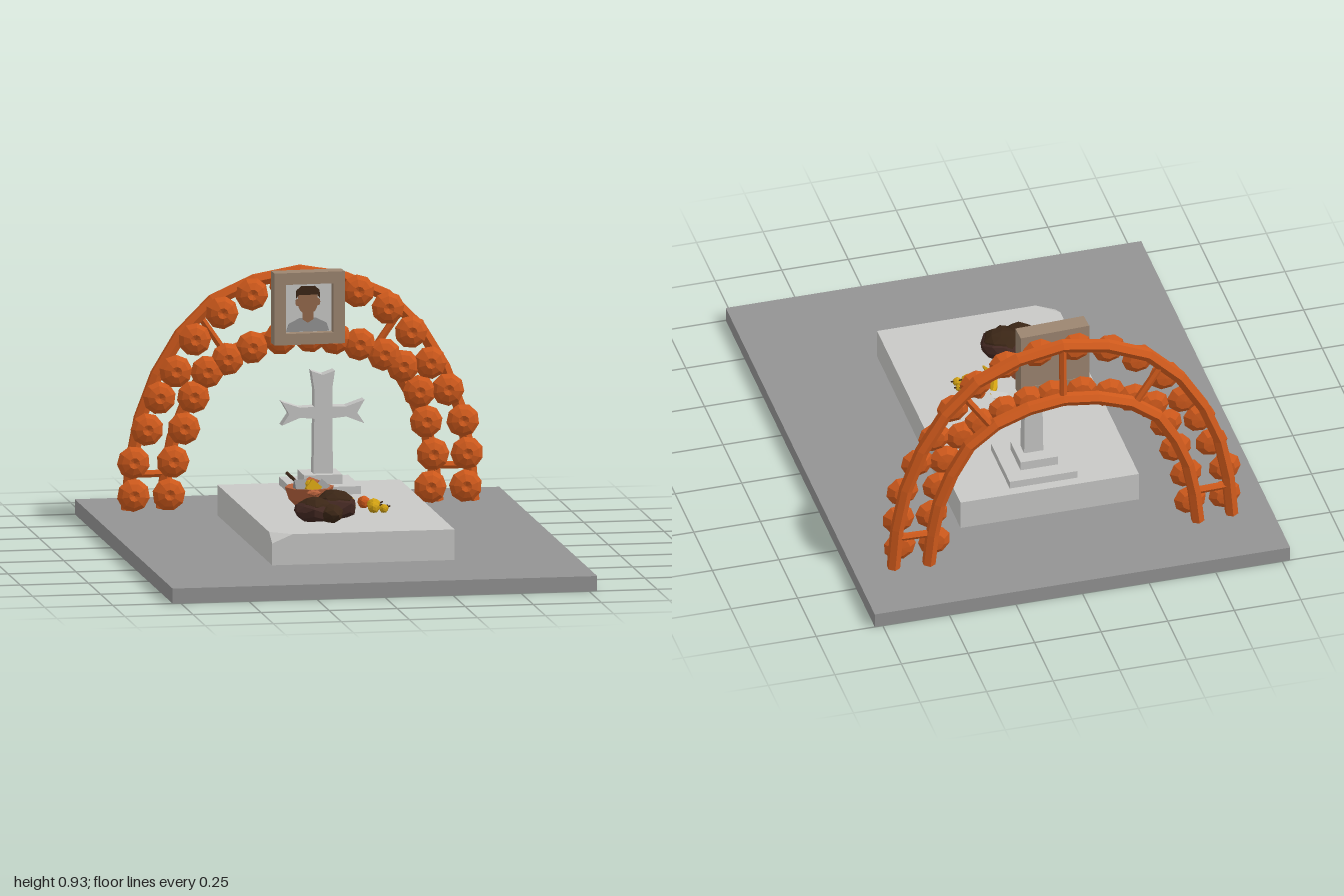
import * as THREE from 'three';
import { ConvexGeometry } from 'three/addons/geometries/ConvexGeometry.js';

const paint = (name, hex, side = THREE.FrontSide) => {
  const m = new THREE.MeshStandardMaterial({ color: hex, flatShading: true, side });
  m.name = name;
  return m;
};

export function createModel() {
  const root = new THREE.Group();
  const mat = {
    ground: paint('concrete grey', 0x939393),
    stone: paint('pale stone', 0xc8c8c6),
    orange: paint('marigold orange', 0xd05a1c),
    wood: paint('frame wood', 0x9c8570),
    brown: paint('dark brown', 0x3b2616),
    bread: paint('bread crust', 0x432822),
    clay: paint('clay', 0xb5613c, THREE.DoubleSide),
    yellow: paint('fruit yellow', 0xd0a012),
    skin: paint('skin', 0x94694c),
  };
  const add = (name, geo, m, x = 0, y = 0, z = 0, parent = root) => {
    const mesh = new THREE.Mesh(geo, m);
    mesh.name = name;
    mesh.position.set(x, y, z);
    parent.add(mesh);
    return mesh;
  };
  const box = (name, w, h, d, m, x, y, z, parent) =>
    add(name, new THREE.BoxGeometry(w, h, d), m, x, y, z, parent);
  const group = (name, x = 0, y = 0, z = 0) => {
    const g = new THREE.Group();
    g.name = name;
    g.position.set(x, y, z);
    root.add(g);
    return g;
  };
  const V = (x, y, z) => new THREE.Vector3(x, y, z);
  const shapeOf = pts => new THREE.Shape(pts.map(p => new THREE.Vector2(p[0], p[1])));
  const extrude = (shape, depth) =>
    new THREE.ExtrudeGeometry(shape, { depth, bevelEnabled: false, curveSegments: 8 });

  // Ground and tomb slab with one chipped corner
  box('groundSlab', 1.56, 0.055, 2, mat.ground, 0, 0.0275, 0);
  const X = 0.335, Z = 0.56, B = 0.055, T = 0.167;
  add('tombSlab', new ConvexGeometry([
    V(-X, B, -Z), V(X, B, -Z), V(X, B, Z), V(-X, B, Z),
    V(-X, T, -Z), V(X, T, -Z), V(X, T, Z),
    V(-X, T, 0.495), V(-0.26, T, Z), V(-X, 0.135, Z),
  ]), mat.stone);

  // Stepped base and cross with flared, notched arms
  box('lowerStep', 0.255, 0.03, 0.255, mat.stone, 0.012, 0.181, -0.395);
  box('upperStep', 0.14, 0.035, 0.135, mat.stone, 0.012, 0.213, -0.395);
  const half = [[0.036, 0.23], [0.033, 0.432], [0.085, 0.437], [0.152, 0.41], [0.125, 0.45],
    [0.152, 0.497], [0.085, 0.474], [0.033, 0.476], [0.033, 0.54], [0.043, 0.607]];
  const outline = [...half, [0, 0.592], ...half.slice().reverse().map(([x, y]) => [-x, y])];
  add('cross', extrude(shapeOf(outline), 0.05), mat.stone, 0.018, 0, -0.41);

  // Two concentric arch rails joined by struts
  const arch = group('arch');
  const rail = (name, pts, z) => {
    const all = [...pts.map(([x, y]) => V(-x, y, z)), ...pts.slice(0, -1).reverse().map(([x, y]) => V(x, y, z))];
    const path = new THREE.CatmullRomCurve3(all, false, 'centripetal');
    add(name, new THREE.TubeGeometry(path, 14, 0.025, 6), mat.orange, 0, 0, 0, arch);
  };
  rail('outerRail', [[0.635, 0.055], [0.61, 0.3], [0.55, 0.5], [0.45, 0.68], [0.34, 0.8], [0.19, 0.875], [0, 0.913]], -0.732);
  rail('innerRail', [[0.505, 0.055], [0.475, 0.28], [0.41, 0.45], [0.33, 0.57], [0.2, 0.645], [0, 0.685]], -0.742);
  const rod = (name, a, b, r, m, parent = root) => {
    const dir = b.clone().sub(a);
    const mid = a.clone().add(b).multiplyScalar(0.5);
    const mesh = add(name, new THREE.CylinderGeometry(r, r, dir.length(), 6), m, mid.x, mid.y, mid.z, parent);
    mesh.quaternion.setFromUnitVectors(V(0, 1, 0), dir.normalize());
  };
  for (const s of [-1, 1]) {
    rod('lowerStrut', V(s * 0.49, 0.185, -0.74), V(s * 0.62, 0.185, -0.735), 0.014, mat.orange, arch);
    rod('upperStrut', V(s * 0.26, 0.6, -0.74), V(s * 0.37, 0.76, -0.735), 0.014, mat.orange, arch);
  }
  rod('topStrut', V(0, 0.68, -0.74), V(0, 0.91, -0.735), 0.014, mat.orange, arch);

  // Marigold blooms following both rails
  const bloom = new THREE.LatheGeometry(
    [[0, -0.022], [0.035, -0.019], [0.061, 0], [0.045, 0.014], [0.02, 0.024], [0, 0.016]]
      .map(p => new THREE.Vector2(p[0], p[1])), 9);
  bloom.rotateX(Math.PI / 2);
  const rows = [
    [[-0.62, 0.115], [-0.62, 0.235], [-0.57, 0.355], [-0.525, 0.47], [-0.465, 0.565], [-0.395, 0.68], [-0.295, 0.775],
      [-0.185, 0.84], [-0.06, 0.87], [0.08, 0.87], [0.205, 0.84], [0.315, 0.775], [0.4, 0.685], [0.47, 0.57],
      [0.535, 0.47], [0.59, 0.355], [0.605, 0.235], [0.6, 0.115]],
    [[-0.49, 0.115], [-0.475, 0.235], [-0.435, 0.355], [-0.4, 0.47], [-0.35, 0.56], [-0.275, 0.605], [-0.185, 0.645],
      [-0.08, 0.675], [0.03, 0.68], [0.12, 0.67], [0.21, 0.645], [0.3, 0.605], [0.37, 0.56], [0.43, 0.465],
      [0.455, 0.355], [0.48, 0.235], [0.47, 0.115]],
  ];
  rows.forEach((row, r) => row.forEach(([x, y], i) => {
    const f = add('marigold', bloom, mat.orange, x, y, -0.69, arch);
    f.rotation.z = i * 1.3 + r;
  }));

  // Framed portrait hung at the top of the arch
  const frame = group('portrait', 0.01, 0.797, -0.63);
  frame.rotation.y = 0.04;
  const border = shapeOf([[-0.13, -0.132], [0.13, -0.132], [0.13, 0.132], [-0.13, 0.132]]);
  border.holes.push(shapeOf([[-0.088, -0.091], [-0.088, 0.089], [0.088, 0.089], [0.088, -0.091]]));
  add('frameBorder', extrude(border, 0.065), mat.wood, 0, 0, -0.0325, frame);
  box('frameBack', 0.18, 0.184, 0.02, mat.wood, 0, 0, -0.02, frame);
  box('photoBackground', 0.176, 0.18, 0.006, mat.stone, 0, -0.001, -0.008, frame);
  const plate = (name, shape, m, z) => add(name, extrude(shape, 0.003), m, 0, 0, z, frame);
  plate('shirt', shapeOf([[-0.08, -0.09], [0.08, -0.09], [0.07, -0.06], [0.03, -0.04], [-0.03, -0.04], [-0.07, -0.06]]), mat.ground, -0.005);
  plate('neck', shapeOf([[-0.02, -0.045], [0, -0.058], [0.02, -0.045], [0.02, 0], [-0.02, 0]]), mat.skin, -0.003);
  const face = new THREE.Shape();
  face.absellipse(0, 0.022, 0.038, 0.05, 0, Math.PI * 2);
  plate('face', face, mat.skin, -0.002);
  for (const s of [-1, 1]) {
    const ear = new THREE.Shape();
    ear.absellipse(s * 0.039, 0.018, 0.007, 0.013, 0, Math.PI * 2);
    plate('ear', ear, mat.skin, -0.003);
  }
  plate('hair', shapeOf([[-0.044, 0.032], [-0.034, 0.045], [0.034, 0.045], [0.044, 0.032],
    [0.043, 0.062], [0.025, 0.077], [-0.025, 0.077], [-0.043, 0.062]]), mat.brown, 0);

  // Lumpy bread loaves
  const lump = (name, m, x, y, z, sx, sy, sz, turn = 0, detail = 1) => {
    const g = new THREE.IcosahedronGeometry(1, detail);
    const p = g.attributes.position;
    for (let i = 0; i < p.count; i++) {
      const k = 1 + 0.06 * Math.sin(5 * p.getX(i) + 3 * p.getY(i) + 4 * p.getZ(i));
      p.setXYZ(i, p.getX(i) * k, p.getY(i) * k, p.getZ(i) * k);
    }
    const mesh = add(name, g, m, x, y, z);
    mesh.scale.set(sx, sy, sz);
    mesh.rotation.y = turn;
    return mesh;
  };
  lump('loaf', mat.bread, -0.14, 0.212, 0.32, 0.07, 0.043, 0.075, 0.4);
  lump('loaf', mat.bread, -0.055, 0.22, 0.285, 0.075, 0.052, 0.08, 1.2);
  lump('loafCrust', mat.brown, -0.135, 0.222, 0.32, 0.062, 0.04, 0.066, 0.4);
  lump('loafCrust', mat.brown, -0.055, 0.234, 0.285, 0.064, 0.046, 0.07, 1.2);
  lump('loafCrust', mat.brown, -0.085, 0.205, 0.355, 0.05, 0.035, 0.045, 2);

  // Clay bowl with lugs, filling and stick
  const bowl = [[0, 0], [0.045, 0], [0.075, 0.03], [0.09, 0.075], [0.078, 0.075], [0.06, 0.04], [0, 0.035]]
    .map(p => new THREE.Vector2(p[0], p[1]));
  add('bowl', new THREE.LatheGeometry(bowl, 8), mat.clay, -0.113, 0.185, 0.083);
  for (const s of [-1, 1]) lump('bowlLug', mat.clay, -0.113, 0.25, 0.083 + s * 0.088, 0.03, 0.012, 0.016, 0, 0);
  const filling = [[-0.14, 0.07, 'clay'], [-0.1, 0.05, 'clay'], [-0.15, 0.11, 'ground'], [-0.07, 0.08, 'ground'],
    [-0.11, 0.09, 'clay'], [-0.11, 0.13, 'yellow']];
  filling.forEach(([x, z, c], i) => {
    const b = box('bowlFilling', 0.042, 0.04, 0.045, mat[c], x, 0.25 + (i % 3) * 0.006, z);
    b.rotation.set(0.3 * i, 0.8 * i, 0.2);
  });
  lump('bowlFruit', mat.yellow, -0.115, 0.268, 0.115, 0.026, 0.022, 0.026);
  rod('stick', V(-0.13, 0.25, 0.03), V(-0.173, 0.29, -0.045), 0.006, mat.brown);

  // Banana: a bent tube tapered toward both ends
  const bend = new THREE.QuadraticBezierCurve3(V(0.058, 0.2, 0.015), V(0.002, 0.185, 0.115), V(0.038, 0.2, 0.2));
  const banana = new THREE.TubeGeometry(bend, 8, 0.017, 6);
  const bp = banana.attributes.position;
  for (let i = 0; i < bp.count; i++) {
    const t = Math.floor(i / 7) / 8;
    const c = bend.getPointAt(t);
    const v = V(bp.getX(i), bp.getY(i), bp.getZ(i)).sub(c).multiplyScalar(0.2 + 0.8 * Math.sin(Math.PI * t)).add(c);
    bp.setXYZ(i, v.x, v.y, v.z);
  }
  add('banana', banana, mat.yellow);

  // Loose small fruit with stems
  lump('orangeFruit', mat.orange, 0.093, 0.192, 0.053, 0.023, 0.023, 0.022);
  for (const [x, z, r] of [[0.12, 0.102, 0.023], [0.112, 0.15, 0.021], [0.148, 0.155, 0.016], [0.15, 0.12, 0.013]]) {
    lump('smallFruit', mat.yellow, x, 0.167 + r, z, r * 1.1, r, r * 0.9, 0.3);
    rod('fruitStem', V(x + r * 0.8, 0.17 + r, z), V(x + r * 1.5, 0.175 + r, z - 0.008), 0.003, mat.brown);
  }
  return root;
}
